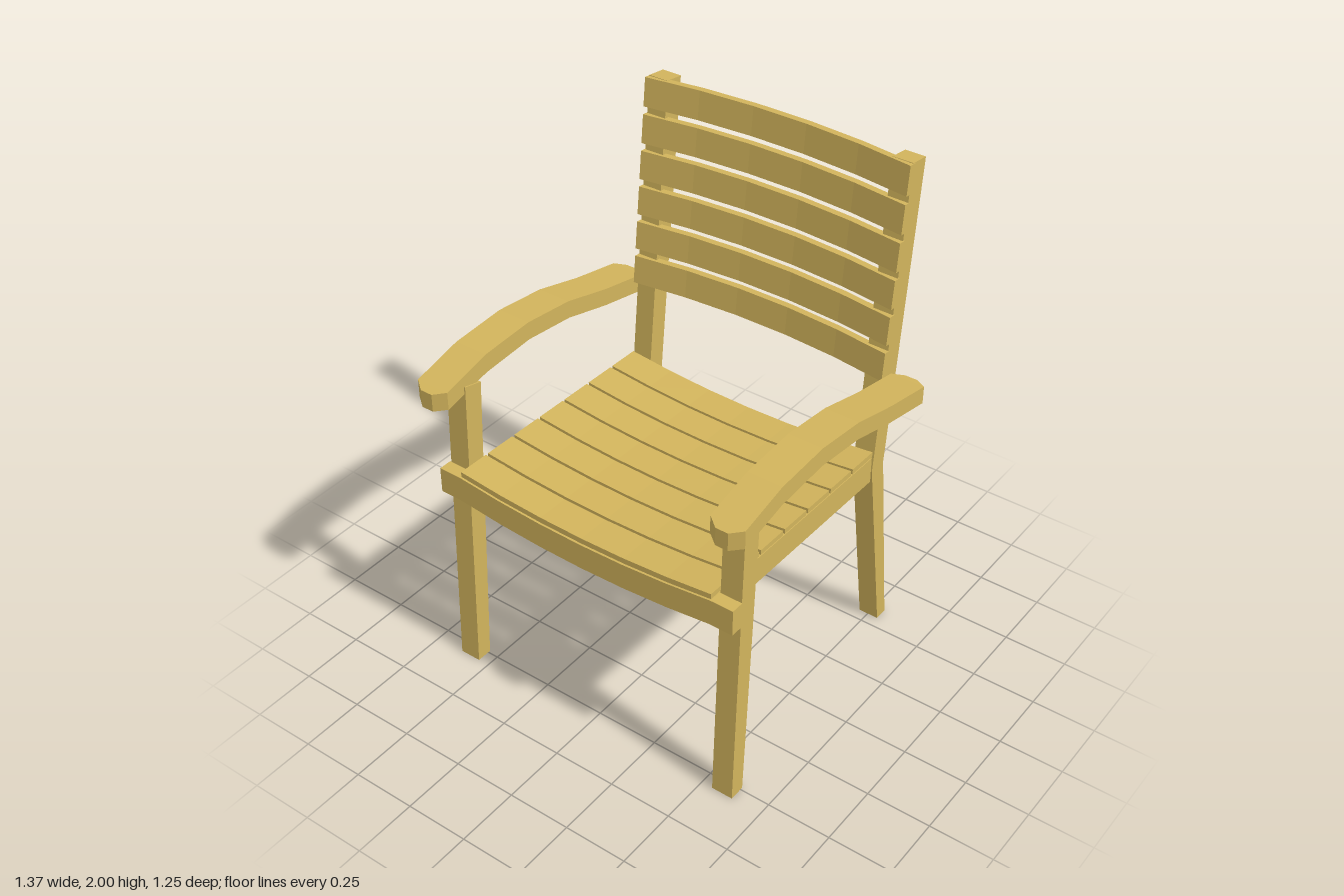
import * as THREE from 'three';

const wood = new THREE.MeshStandardMaterial({ color: 0xd2b45c, flatShading: true });

// Solid beam lofted through four-cornered sections, with capped ends
function beam(name, sections) {
  const tris = [];
  const quad = (a, b, c, d) => tris.push([a, b, c], [a, c, d]);
  for (let i = 0; i < sections.length - 1; i++) {
    const s = sections[i], t = sections[i + 1];
    for (let k = 0; k < 4; k++) {
      const n = (k + 1) % 4;
      quad(s[k], s[n], t[n], t[k]);
    }
  }
  const [a, b, c, d] = sections[0];
  const [e, f, g, h] = sections[sections.length - 1];
  quad(d, c, b, a);
  quad(e, f, g, h);
  // A negative enclosed volume means the faces point inwards
  const volume = tris.reduce((sum, [p, q, r]) => sum + p.dot(q.clone().cross(r)), 0);
  if (volume < 0) tris.forEach((t) => t.reverse());
  const geometry = new THREE.BufferGeometry().setFromPoints(tris.flat());
  geometry.computeVertexNormals();
  const mesh = new THREE.Mesh(geometry, wood);
  mesh.name = name;
  return mesh;
}

const v = (x, y, z) => new THREE.Vector3(x, y, z);

// Post with stations [y, zFront, zBack] between two x values
const post = (name, x0, x1, stations) => beam(name, stations.map(([y, zf, zb, yb = y]) =>
  [v(x0, y, zf), v(x1, y, zf), v(x1, yb, zb), v(x0, yb, zb)]));

// Evenly spaced x stations across a width
const spread = (half, n) => Array.from({ length: n + 1 }, (_, i) => -half + (2 * half * i) / n);

const HALF = 0.543;
const bow = (x) => 1 - Math.min(1, Math.abs(x) / HALF) ** 2;

// Crosswise board sagging in the middle
const saggingBoard = (name, xs, zf, zb, topF, topB, height, sag) => beam(name, xs.map((x) => {
  const d = sag * bow(x);
  return [v(x, topF - d, zf), v(x, topB - d, zb), v(x, topB - height - d, zb), v(x, topF - height - d, zf)];
}));

export function createModel() {
  const chair = new THREE.Group();
  chair.name = 'armchair';

  for (const [side, s] of [['left', 1], ['right', -1]]) {
    const inner = s * 0.463, outer = s * 0.543;

    // Back leg bends at the seat and carries on as the backrest post
    chair.add(post(`${side}BackLeg`, inner, outer, [[0, -0.548, -0.602], [0.8, -0.42, -0.497], [2, -0.542, -0.622, 1.99]]));

    // Front leg, outside the seat frame
    chair.add(post(`${side}FrontLeg`, s * 0.545, s * 0.63, [[0, 0.553, 0.49], [1.24, 0.507, 0.428, 1.22]]));

    // Side rail under the seat
    chair.add(beam(`${side}SideRail`, [inner, outer].map((x) =>
      [v(x, 0.893, 0.525), v(x, 0.866, -0.412), v(x, 0.76, -0.412), v(x, 0.787, 0.525)])));

    // Arched armrest with clipped corners: z, top, bottom, half width
    const arm = [
      [0.623, 1.255, 1.185, 0.024], [0.59, 1.263, 1.192, 0.067], [0.39, 1.31, 1.236, 0.067],
      [0.16, 1.322, 1.25, 0.067], [-0.06, 1.296, 1.225, 0.067], [-0.27, 1.24, 1.17, 0.067],
      [-0.49, 1.195, 1.125, 0.067], [-0.517, 1.19, 1.12, 0.024],
    ];
    const cx = s * 0.617;
    chair.add(beam(`${side}Armrest`, arm.map(([z, top, bottom, w]) =>
      [v(cx - w, bottom, z), v(cx + w, bottom, z), v(cx + w, top, z), v(cx - w, top, z)])));
  }

  // Curved cross rails
  const frontXs = [-0.633, ...spread(HALF, 6), 0.633];
  chair.add(saggingBoard('frontRail', frontXs, 0.575, 0.523, 0.893, 0.892, 0.103, 0.037));
  chair.add(saggingBoard('backRail', spread(0.465, 6), -0.355, -0.412, 0.868, 0.866, 0.108, 0.038));

  // Seat slats, rising gently towards the front
  const seatTop = (z) => 0.899 + 0.026 * z;
  for (let i = 0; i < 7; i++) {
    const zb = -0.419 + i * 0.1425, zf = zb + 0.131;
    chair.add(saggingBoard(`seatSlat${i + 1}`, spread(0.54, 6), zf, zb, seatTop(zf), seatTop(zb), 0.022, 0.035));
  }

  // Back slats, bowed rearwards and leaning with the posts
  const lean = (y) => -0.435 - 0.105 * (y - 1.19);
  for (let i = 0; i < 6; i++) {
    const y0 = 1.19 + i * 0.14, y1 = y0 + 0.11;
    chair.add(beam(`backSlat${i + 1}`, spread(0.545, 5).map((x) => {
      const d = -0.046 * bow(x);
      return [v(x, y0, lean(y0) + d), v(x, y1, lean(y1) + d), v(x, y1 - 0.003, lean(y1) + d - 0.03), v(x, y0 - 0.003, lean(y0) + d - 0.03)];
    })));
  }

  return chair;
}
